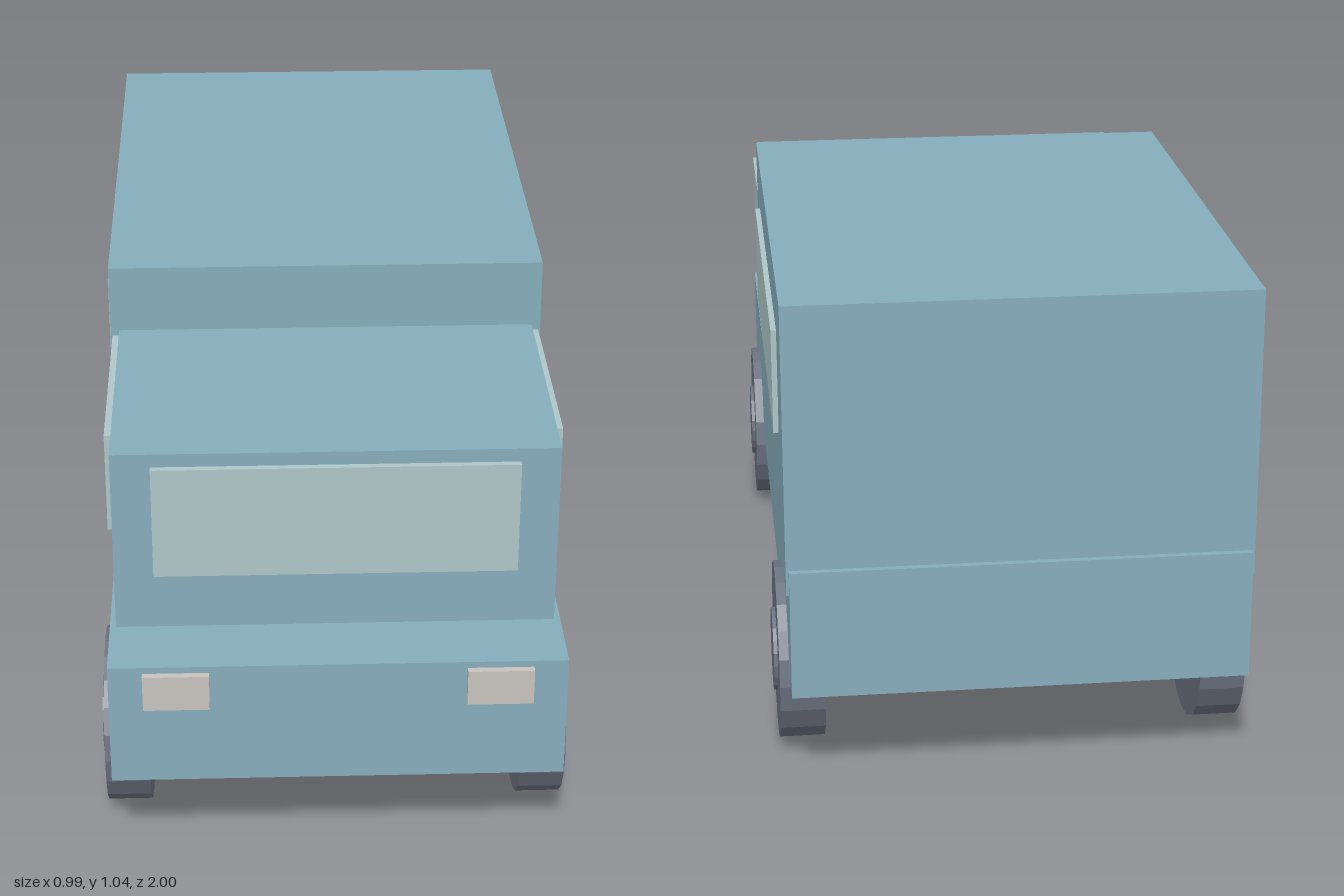
import * as THREE from 'three';

const paint = (name, color) => {
  const m = new THREE.MeshStandardMaterial({ color });
  m.name = name;
  return m;
};

export function createModel() {
  const body = paint('blue body', 0x86adbb);
  const glass = paint('pale glass', 0xafc6c8);
  const lamp = paint('warm lamp', 0xc8c3bd);
  const rubber = paint('grey rubber', 0x6b7280);
  rubber.flatShading = true;

  const van = new THREE.Group();
  van.name = 'van';

  // Box given by its extents on each axis
  const box = (name, mat, [x0, x1], [y0, y1], [z0, z1]) => {
    const mesh = new THREE.Mesh(new THREE.BoxGeometry(x1 - x0, y1 - y0, z1 - z0), mat);
    mesh.position.set((x0 + x1) / 2, (y0 + y1) / 2, (z0 + z1) / 2);
    mesh.name = name;
    van.add(mesh);
  };

  // Body: low chassis, front cab and taller rear compartment
  box('chassis', body, [-0.466, 0.466], [0.222, 0.495], [-1, 0.985]);
  box('cab', body, [-0.453, 0.453], [0.495, 0.897], [0.25, 0.828]);
  box('rearCompartment', body, [-0.472, 0.472], [0.442, 1.045], [-0.986, 0.25]);
  box('windscreen', glass, [-0.372, 0.372], [0.622, 0.868], [0.828, 0.842]);

  const disc = (name, radius, width) => {
    const mesh = new THREE.Mesh(new THREE.CylinderGeometry(radius, radius, width, 20), rubber);
    mesh.rotation.z = Math.PI / 2;
    mesh.name = name;
    return mesh;
  };

  for (const s of [-1, 1]) {
    const side = s > 0 ? 'left' : 'right';
    const span = (a, b) => (s > 0 ? [a, b] : [-b, -a]);

    // Side glass and headlights
    box(side + 'CabWindow', glass, span(0.453, 0.468), [0.665, 0.884], [0.25, 0.72]);
    box(side + 'RearWindow', glass, span(0.472, 0.483), [0.718, 0.935], [-0.803, 0.075]);
    box(side + 'Headlight', lamp, span(0.261, 0.396), [0.402, 0.481], [0.985, 1]);

    // Wheels with raised hubs
    for (const [end, z] of [['Front', 0.68], ['Rear', -0.695]]) {
      const wheel = new THREE.Group();
      wheel.name = side + end + 'Wheel';
      const hub = disc('hub', 0.088, 0.03);
      hub.position.x = s * 0.04;
      wheel.add(disc('tyre', 0.1875, 0.094), hub);
      wheel.position.set(s * 0.439, 0.1875, z);
      van.add(wheel);
    }
  }
  return van;
}
